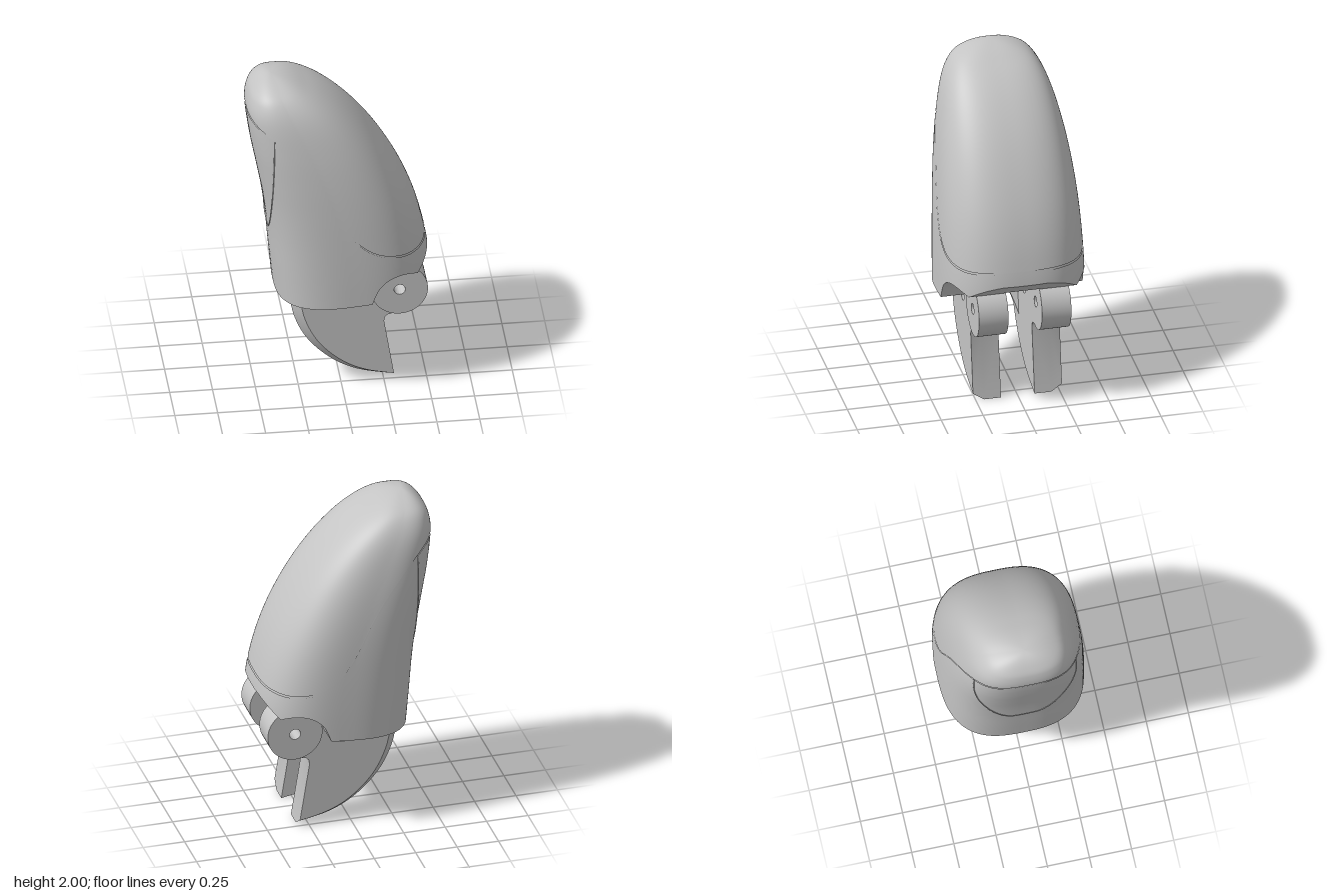
import * as THREE from 'three';
import { toCreasedNormals } from 'three/addons/utils/BufferGeometryUtils.js';

const COLS = 192;
const V = (p) => new THREE.Vector2(p[0], p[1]);
const clamp = THREE.MathUtils.clamp;

// Smooth interpolation through a short list of [key, value] pairs with rising keys
function interp(pts, k) {
  const n = pts.length;
  if (k <= pts[0][0]) return pts[0][1];
  if (k >= pts[n - 1][0]) return pts[n - 1][1];
  let i = 0;
  while (k > pts[i + 1][0]) i++;
  const slope = (j) => {
    const a = pts[Math.max(j - 1, 0)], b = pts[Math.min(j + 1, n - 1)];
    return (b[1] - a[1]) / (b[0] - a[0]);
  };
  const h = pts[i + 1][0] - pts[i][0], t = (k - pts[i][0]) / h, t2 = t * t, t3 = t2 * t;
  return (2 * t3 - 3 * t2 + 1) * pts[i][1] + (t3 - 2 * t2 + t) * h * slope(i)
    + (3 * t2 - 2 * t3) * pts[i + 1][1] + (t3 - t2) * h * slope(i + 1);
}

// Shell profile per height: back x, front x, half width
const PROFILE = [
  [2, -0.38, -0.38, 0], [1.95, -0.475, -0.2, 0.195], [1.9, -0.51, -0.11, 0.25], [1.8, -0.528, 0.02, 0.303],
  [1.6, -0.505, 0.2, 0.355], [1.4, -0.468, 0.328, 0.386], [1.2, -0.432, 0.424, 0.405], [1.0, -0.407, 0.49, 0.416],
  [0.8, -0.39, 0.528, 0.422], [0.58, -0.37, 0.528, 0.424],
];
const key = (y) => Math.sqrt(Math.max(2 - y, 0));
const [backX, frontX, halfW] = [1, 2, 3].map((c) => PROFILE.map((r) => [key(r[0]), r[c]]));
const POWER = 2.8;

function section(y) {
  const k = key(y), l = interp(backX, k), r = interp(frontX, k);
  return { cx: (l + r) / 2, a: (r - l) / 2, w: interp(halfW, k) };
}
function shellPoint(theta, y, scale = 1) {
  const { cx, a, w } = section(y);
  const f = (q) => Math.sign(q) * Math.pow(Math.abs(q), 2 / POWER) * scale;
  return [cx + a * f(Math.cos(theta)), y, w * f(Math.sin(theta))];
}

// Dividing line between cap and body, as height over x
const SEAM = [[-0.53, 1.8], [-0.4, 1.715], [-0.3, 1.62], [-0.2, 1.505], [-0.1, 1.36], [0, 1.165],
  [0.1, 1.025], [0.2, 0.955], [0.3, 0.925], [0.4, 0.915], [0.52, 0.922]];
function seamY(theta) {
  let lo = 0.8, hi = 1.99;
  for (let i = 0; i < 40; i++) {
    const m = (lo + hi) / 2;
    if (m < interp(SEAM, shellPoint(theta, m)[0])) lo = m; else hi = m;
  }
  return lo;
}

// Lower edge of the body over x, arched over the knuckles
const KX = 0.34, KY = 0.625, KR = 0.165;
function edgeY(x) {
  if (x < 0.178) return 0.585 + (x + 0.37) * 0.08;
  if (x < 0.44) return KY + Math.sqrt(Math.max(0.167 ** 2 - (x - KX) ** 2, 0));
  return Math.min(0.759 + (x - 0.44) * 0.95, 0.84);
}
const bottomY = (theta) => edgeY(shellPoint(theta, 0.7)[0]);

// Closed loft: fn(row, theta) gives a point
function loft(rows, fn) {
  const pos = [], idx = [];
  for (let j = 0; j <= rows; j++)
    for (let i = 0; i < COLS; i++) pos.push(...fn(j, (i / COLS) * Math.PI * 2));
  for (let j = 0; j < rows; j++)
    for (let i = 0; i < COLS; i++) {
      const n = (i + 1) % COLS, a = j * COLS + i, b = a + COLS, c = j * COLS + n, d = c + COLS;
      idx.push(a, b, c, b, d, c);
    }
  const g = new THREE.BufferGeometry();
  g.setAttribute('position', new THREE.Float32BufferAttribute(pos, 3));
  g.setIndex(idx);
  g.computeVertexNormals();
  return g;
}

// Copy reflected across z = 0, with corners reordered
function mirrored(geo) {
  const g = geo.clone(), p = g.attributes.position, n = g.attributes.normal;
  for (const at of [p, n]) {
    for (let i = 0; i < at.count; i += 3) {
      const t = [0, 1, 2].map((k) => [at.getX(i + k), at.getY(i + k), -at.getZ(i + k)]);
      [t[0], t[2], t[1]].forEach((v, k) => at.setXYZ(i + k, ...v));
    }
  }
  return g;
}

function circleHole(x, y, r) {
  return new THREE.Path().absarc(x, y, r, 0, Math.PI * 2, true);
}

// Prong: side outline extruded, its curved back edge chamfered outward
function prongGeometry() {
  const sample = (pts) => new THREE.SplineCurve(pts.map(V)).getPoints(24);
  const outer = sample([[-0.295, 0.62], [-0.27, 0.45], [-0.19, 0.28], [-0.05, 0.135], [0.11, 0.048], [0.315, 0.003]]);
  const inner = sample([[-0.245, 0.62], [-0.21, 0.45], [-0.13, 0.29], [0, 0.16], [0.14, 0.085], [0.308, 0.045]]);
  const rest = [[0.25, 0.41], [0.255, 0.437], [0.27, 0.452], [0.3, 0.46], [0.3, 0.55], [0.18, 0.7], [0.16, 0.87],
    [-0.22, 0.87]].map(V);
  const shape = new THREE.Shape([...outer, ...rest]);
  shape.holes.push(circleHole(0.048, 0.56, 0.033));
  const g = new THREE.ExtrudeGeometry(shape, { depth: 1, steps: 2, bevelEnabled: false, curveSegments: 12 });
  const p = g.attributes.position;
  for (let i = 0; i < p.count; i++) {
    const layer = Math.round(p.getZ(i) * 2);
    p.setZ(i, [0.1, 0.2, 0.265][layer]);
    if (layer < 2) continue;
    const k = outer.findIndex((o) => Math.hypot(o.x - p.getX(i), o.y - p.getY(i)) < 1e-4);
    if (k >= 0) p.setXY(i, inner[k].x, inner[k].y);
  }
  return toCreasedNormals(g, 0.5);
}

function knuckleGeometry() {
  const shape = new THREE.Shape().absarc(KX, KY, KR, 0, Math.PI * 2, false);
  shape.holes.push(circleHole(KX, KY, 0.033));
  const g = new THREE.ExtrudeGeometry(shape, { depth: 0.175, bevelEnabled: false, curveSegments: 32 });
  return toCreasedNormals(g.translate(0, 0, 0.1), 0.5);
}

// Web between the prongs, leaning along their back edge, with an arched lower edge
function webGeometry() {
  const shape = new THREE.Shape();
  shape.moveTo(-0.1, 0.87);
  shape.lineTo(-0.1, 0.32);
  shape.quadraticCurveTo(-0.045, 0.51, 0, 0.51);
  shape.quadraticCurveTo(0.045, 0.51, 0.1, 0.32);
  shape.lineTo(0.1, 0.87);
  const g = new THREE.ExtrudeGeometry(shape, { depth: 0.12, bevelEnabled: false, curveSegments: 10 });
  g.rotateY(Math.PI / 2);
  const p = g.attributes.position;
  for (let i = 0; i < p.count; i++) p.setX(i, p.getX(i) - 0.2 - clamp(p.getY(i) - 0.32, 0, 0.24) * 0.35);
  return toCreasedNormals(g, 0.5);
}

export function createModel() {
  const model = new THREE.Group();
  const grey = new THREE.MeshStandardMaterial({ color: 0xc4c4c4 });
  grey.name = 'plain grey';
  const add = (name, geo) => {
    const m = new THREE.Mesh(geo, grey);
    m.name = name;
    model.add(m);
  };

  // Rounded cap, body below it, and the liner behind the gap
  const GAP = 0.005, ROWS = 40;
  add('cap', loft(ROWS, (j, th) => {
    const y0 = seamY(th) + GAP, v = 1 - j / ROWS;
    return shellPoint(th, 2 - (2 - y0) * v * v);
  }));
  add('body', loft(24, (j, th) => {
    const y0 = bottomY(th), y1 = seamY(th) - GAP;
    return shellPoint(th, y0 + (y1 - y0) * (j / 24));
  }));
  add('seamLiner', loft(4, (j, th) => shellPoint(th, seamY(th) - 0.04 + j * 0.02, 0.982)));

  // Underside: solid flanks around a narrow central channel
  add('underside', toCreasedNormals(loft(3, (j, th) => {
    if (j === 0) return [0.07, 0.86, 0];
    const rim = shellPoint(th, bottomY(th));
    if (j === 3) return rim;
    const x = clamp(rim[0], -0.3, 0.45);
    return [x, j === 1 ? 0.86 : edgeY(x), clamp(rim[2], -0.1, 0.1)];
  }), 0.6));

  // Outline of the finger pad on the back
  const side = [];
  for (let i = 0; i <= 40; i++) {
    const t = (i / 40) ** 0.7, y = 1.712 - t * 0.722, padX = -0.393 - t * 0.013;
    const { cx, a, w } = section(y), c = (cx - padX) / a;
    if (c < 1) side.push(new THREE.Vector3(padX, y, w * Math.pow(1 - Math.pow(c, POWER), 1 / POWER)));
  }
  const other = side.map((p) => new THREE.Vector3(p.x, p.y, -p.z)).reverse();
  const path = new THREE.CatmullRomCurve3([...side, ...other]);
  add('padSeam', new THREE.TubeGeometry(path, 160, 0.004, 6));

  // Prongs and knuckles on both sides
  const prong = prongGeometry(), knuckle = knuckleGeometry();
  add('prongFront', prong);
  add('prongBack', mirrored(prong));
  add('knuckleFront', knuckle);
  add('knuckleBack', mirrored(knuckle));
  add('web', webGeometry());
  return model;
}
